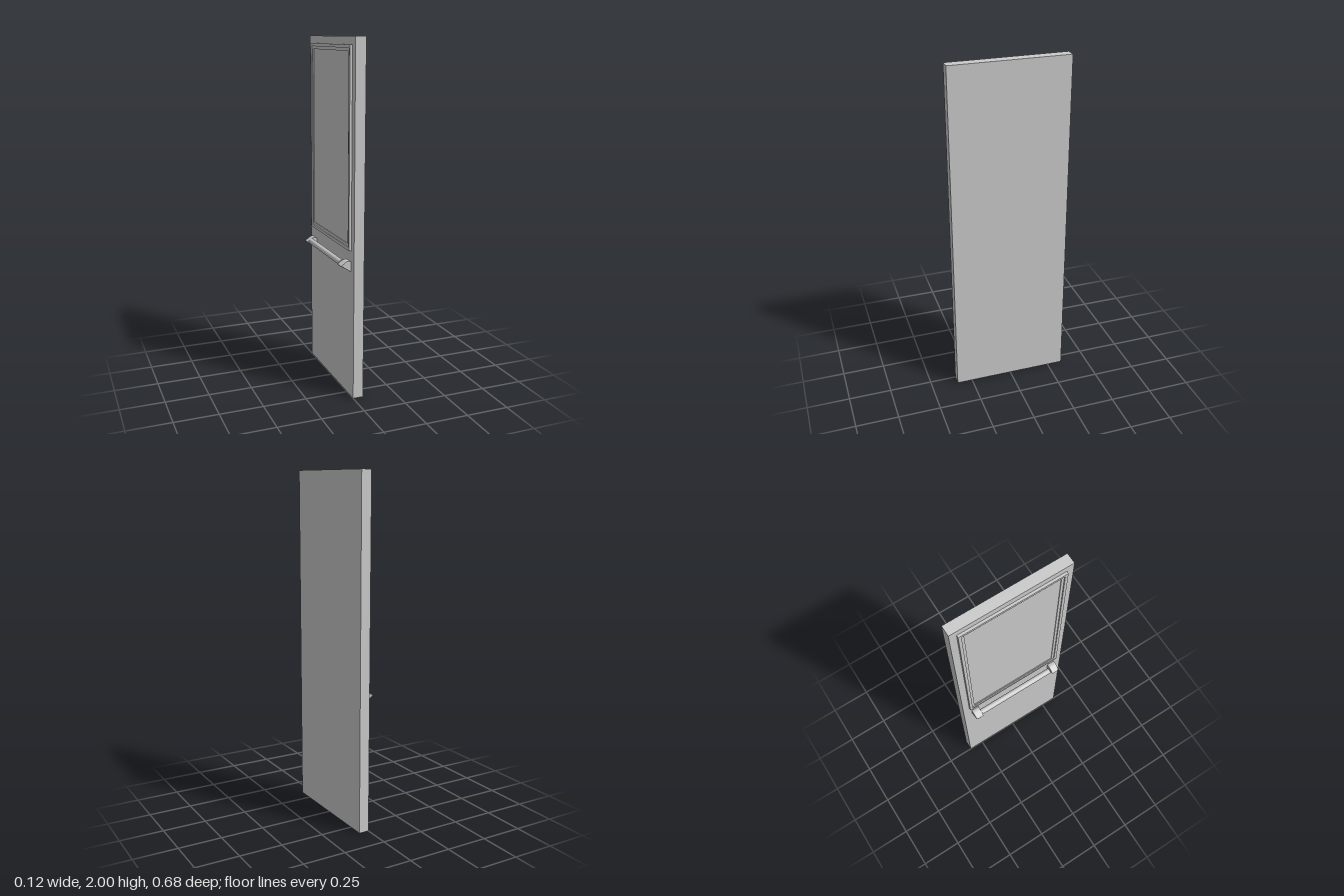
import * as THREE from 'three';

export function createModel() {
  const group = new THREE.Group();
  const material = new THREE.MeshStandardMaterial({ color: 0xcccccc, flatShading: true });
  const smooth = new THREE.MeshStandardMaterial({ color: 0xcccccc });

  const add = (name, geometry, mat = material) => {
    const mesh = new THREE.Mesh(geometry, mat);
    mesh.name = name;
    group.add(mesh);
    return mesh;
  };

  const rect = (shape, w, h) => shape
    .moveTo(-w / 2, -h / 2).lineTo(w / 2, -h / 2)
    .lineTo(w / 2, h / 2).lineTo(-w / 2, h / 2).closePath();

  // Rectangular moulding standing out from the -x face of the slab
  const addFrame = (name, w, h, width, depth) => {
    const shape = rect(new THREE.Shape(), w, h);
    shape.holes.push(rect(new THREE.Path(), w - 2 * width, h - 2 * width));
    const frame = add(name, new THREE.ExtrudeGeometry(shape, { depth, bevelEnabled: false }));
    frame.rotation.y = -Math.PI / 2;
    frame.position.y = 1.408;
  };

  // Door slab
  add('doorSlab', new THREE.BoxGeometry(0.06, 2, 0.684).translate(0.03, 1, 0));

  // Upper panel with stepped moulding
  addFrame('outerMoulding', 0.604, 1.1, 0.017, 0.014);
  addFrame('innerMoulding', 0.57, 1.066, 0.016, 0.008);
  add('panel', new THREE.BoxGeometry(0.004, 1.034, 0.538).translate(-0.002, 1.408, 0));

  // Wedge-shaped handle brackets, each with its outer end rounded off
  const profile = new THREE.Shape()
    .moveTo(0, 0.737)
    .lineTo(0, 0.794)
    .quadraticCurveTo(-0.014, 0.802, -0.028, 0.797)
    .lineTo(-0.058, 0.778)
    .quadraticCurveTo(-0.062, 0.774, -0.058, 0.771)
    .closePath();
  const length = 0.046;
  for (const [name, z0, side] of [['rearBracket', -0.289, -1], ['frontBracket', 0.25, 1]]) {
    const geometry = new THREE.ExtrudeGeometry(profile, {
      depth: length, steps: 16, bevelEnabled: false, curveSegments: 8,
    });
    const p = geometry.attributes.position;
    for (let i = 0; i < p.count; i++) {
      const fromEnd = side > 0 ? length - p.getZ(i) : p.getZ(i);
      const t = Math.max(0, 1 - fromEnd / 0.008);
      p.setX(i, p.getX(i) * (1 - 0.12 * t * t));
    }
    geometry.translate(0, 0, z0);
    geometry.computeVertexNormals();
    add(name, geometry);
  }

  // Round handle bar between the brackets
  const bar = add('handleBar', new THREE.CylinderGeometry(0.017, 0.017, 0.485, 32), smooth);
  bar.rotation.x = Math.PI / 2;
  bar.position.set(-0.033, 0.776, 0);

  return group;
}
